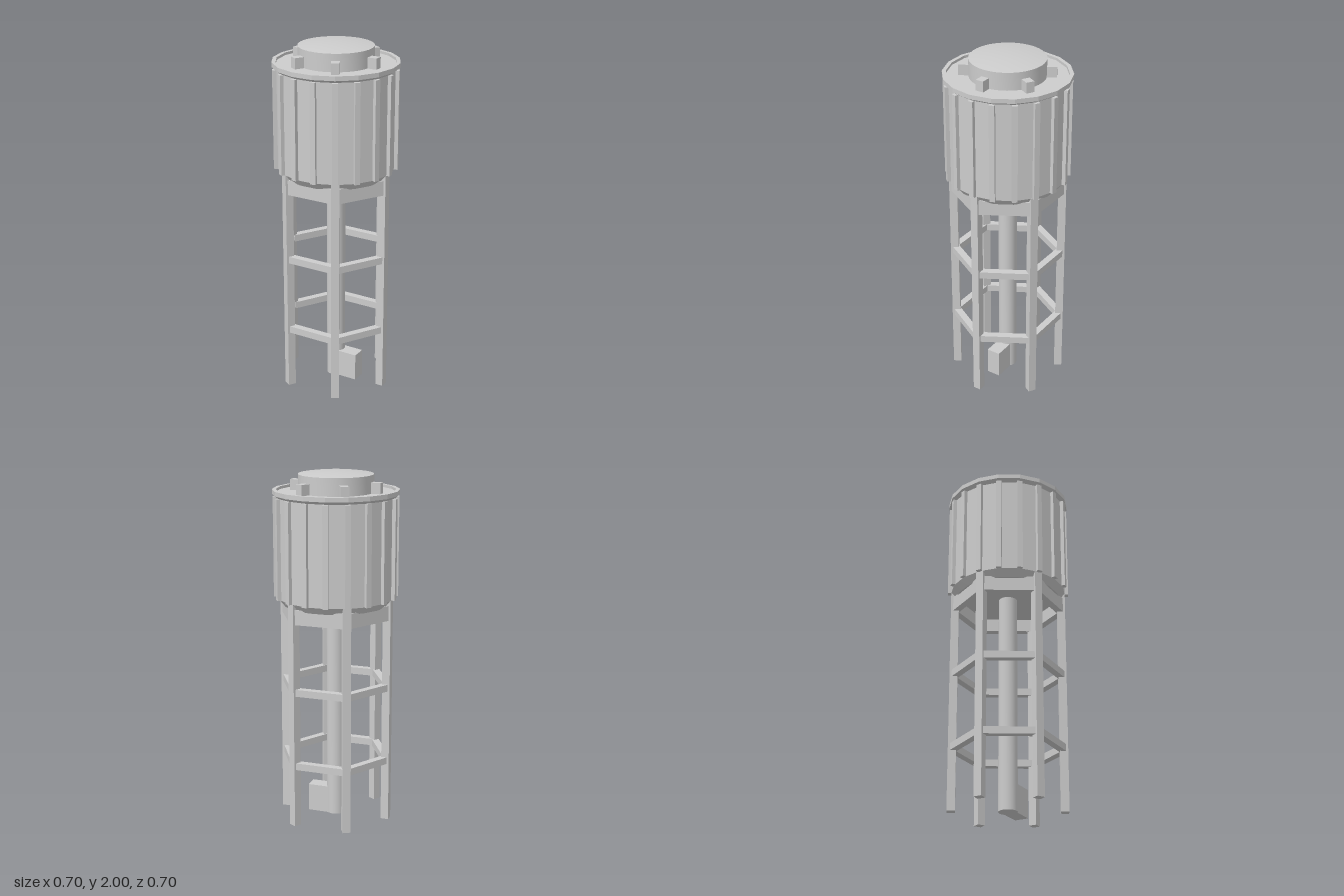
import * as THREE from 'three';
import { toCreasedNormals } from 'three/addons/utils/BufferGeometryUtils.js';

const TWIST = THREE.MathUtils.degToRad(9); // whole structure is turned slightly

export function createModel() {
  const model = new THREE.Group();
  model.name = 'waterTower';
  const grey = new THREE.MeshStandardMaterial({ color: 0xcccccc });
  grey.name = 'light grey';

  const add = (name, geometry) => {
    const mesh = new THREE.Mesh(geometry, grey);
    mesh.name = name;
    model.add(mesh);
    return mesh;
  };

  // Revolved part; edges sharper than about 17 degrees stay crisp
  const revolve = (name, profile, sides) => {
    const points = profile.map(([r, y]) => new THREE.Vector2(r, y));
    const start = THREE.MathUtils.degToRad(1);
    return add(name, toCreasedNormals(new THREE.LatheGeometry(points, sides, start), 0.3));
  };

  // Box at a radius and angle about the axis; depth runs radially
  const radialBox = (name, angle, radius, [depth, height, width], bottom) => {
    const mesh = add(name, new THREE.BoxGeometry(depth, height, width));
    mesh.position.set(Math.cos(angle) * radius, bottom + height / 2, Math.sin(angle) * radius);
    mesh.rotation.y = -angle;
    return mesh;
  };

  // Tank with tapered base, flared rim and recessed roof
  revolve('tank', [
    [0, 1.26], [0.298, 1.26], [0.33, 1.3], [0.33, 1.86],
    [0.352, 1.875], [0.352, 1.9], [0.33, 1.9], [0.33, 1.885], [0, 1.885],
  ], 18);

  // Ribs on the tank corners
  for (let i = 0; i < 18; i++) {
    radialBox('tankRib', TWIST + (i * Math.PI) / 9, 0.333, [0.03, 0.56, 0.03], 1.3);
  }

  // Domed hatch on the roof
  revolve('roofHatch', [
    [0.209, 1.88], [0.209, 1.984], [0.16, 1.991], [0.09, 1.997], [0, 2],
  ], 48);

  // Central pipe
  revolve('centralPipe', [[0, 0], [0.053, 0], [0.053, 1.27]], 24);

  // Control box against the foot of the pipe
  radialBox('controlBox', TWIST + Math.PI / 3, 0.095, [0.12, 0.16, 0.08], 0);

  // Six bays: roof block, leg and the beams to the next leg
  const legRadius = 0.305;
  for (let i = 0; i < 6; i++) {
    const angle = TWIST + (i * Math.PI) / 3;
    radialBox('roofBlock', angle, 0.23, [0.064, 0.065, 0.046], 1.88);
    radialBox('leg', angle, legRadius, [0.045, 1.3, 0.045], 0);

    const mid = angle + Math.PI / 6;
    const apothem = legRadius * Math.cos(Math.PI / 6);
    radialBox('topBeam', mid, apothem, [0.04, 0.085, legRadius], 1.185);
    for (const y of [0.34, 0.775]) {
      radialBox('brace', mid, apothem, [0.04, 0.04, legRadius], y);
    }
  }
  return model;
}
